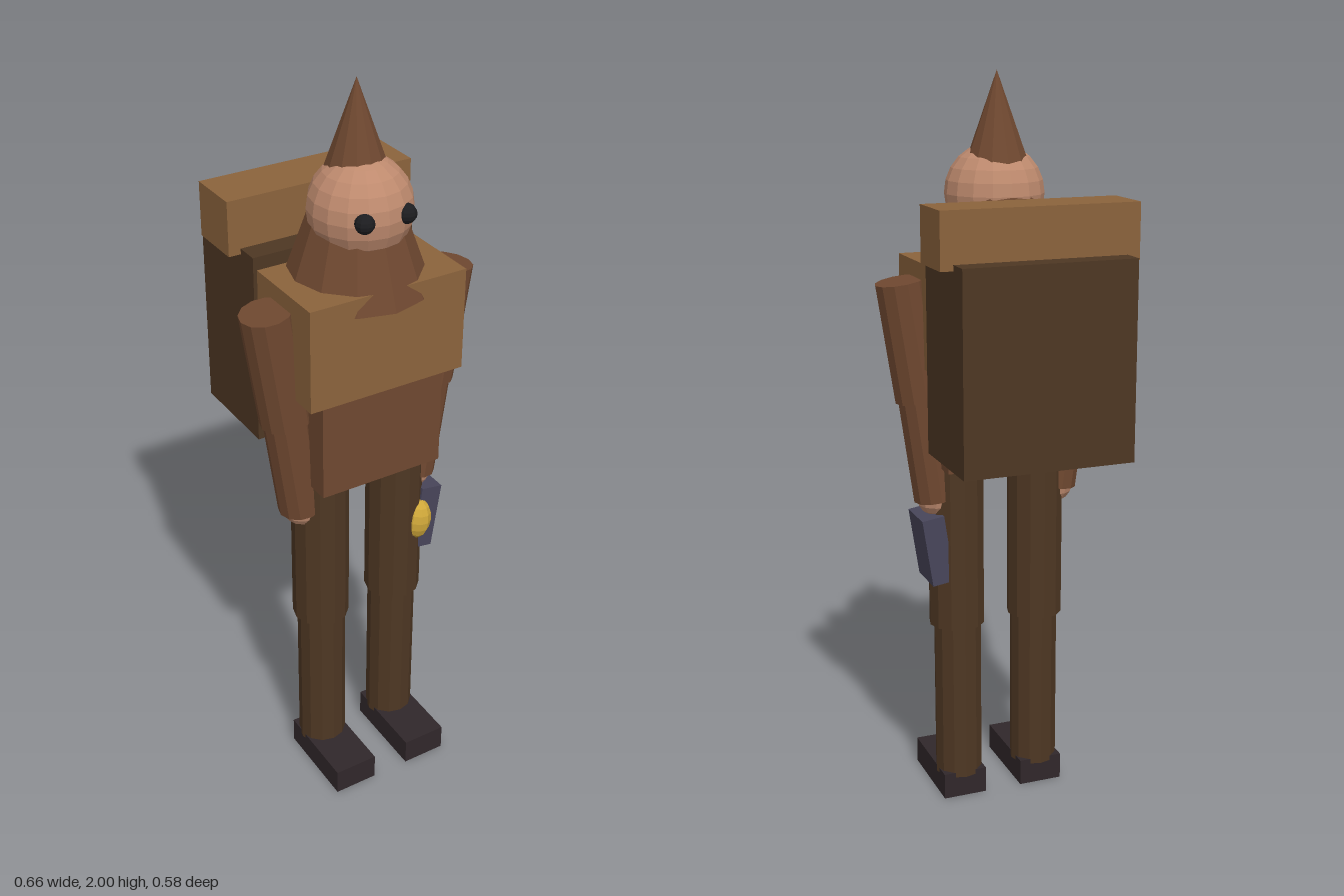
import * as THREE from 'three';

export function createModel() {
  const root = new THREE.Group();
  root.name = 'hoodedTraveller';

  const material = (name, color) => {
    const m = new THREE.MeshStandardMaterial({ color });
    m.name = name;
    return m;
  };
  const tan = material('tan leather', 0x8b633c);
  const brown = material('russet cloth', 0x6f4830);
  const dark = material('dark brown', 0x4e3723);
  const skin = material('skin', 0xbe8a6e);
  const black = material('eye black', 0x1d1d20);
  const boot = material('boot leather', 0x30272a);
  const slate = material('slate', 0x48455a);
  const gold = material('gold', 0xd0a83a);

  // Faceted mesh at a position
  function add(name, geometry, mat, x, y, z) {
    const flat = geometry.index ? geometry.toNonIndexed() : geometry;
    flat.computeVertexNormals();
    const mesh = new THREE.Mesh(flat, mat);
    mesh.name = name;
    mesh.position.set(x, y, z);
    root.add(mesh);
    return mesh;
  }
  // Box given by its lower and upper corners
  function box(name, mat, [x0, y0, z0], [x1, y1, z1]) {
    return add(name, new THREE.BoxGeometry(x1 - x0, y1 - y0, z1 - z0), mat,
      (x0 + x1) / 2, (y0 + y1) / 2, (z0 + z1) / 2);
  }
  // Round limb between two points
  function limb(name, mat, a, b, radius) {
    const from = new THREE.Vector3(...a), to = new THREE.Vector3(...b);
    const axis = from.clone().sub(to);
    const mid = from.clone().add(to).multiplyScalar(0.5);
    const mesh = add(name, new THREE.CylinderGeometry(radius, radius, axis.length(), 12), mat, mid.x, mid.y, mid.z);
    mesh.quaternion.setFromUnitVectors(new THREE.Vector3(0, 1, 0), axis.normalize());
    return mesh;
  }

  // Torso
  box('tunic', brown, [-0.175, 0.975, -0.016], [0.175, 1.25, 0.217]);
  box('chest', tan, [-0.22, 1.25, -0.035], [0.22, 1.525, 0.237]);

  // Backpack with bedroll
  box('backpack', dark, [-0.23, 1.04, -0.29], [0.23, 1.56, -0.018]);
  box('bedroll', tan, [-0.263, 1.545, -0.227], [0.263, 1.69, -0.08]);

  // Head inside a tall pointed hood
  add('head', new THREE.SphereGeometry(0.131, 16, 12), skin, 0, 1.69, 0.1);
  add('hood', new THREE.ConeGeometry(0.187, 0.524, 12), brown, 0, 1.738, 0.08);

  for (const s of [1, -1]) {
    const side = s > 0 ? 'left' : 'right';
    add(side + 'Eye', new THREE.SphereGeometry(0.025, 10, 8), black, s * 0.058, 1.7, 0.213);

    // Arm
    limb(side + 'UpperArm', brown, [s * 0.262, 1.475, 0.098], [s * 0.214, 1.16, 0.098], 0.067);
    limb(side + 'Forearm', brown, [s * 0.216, 1.18, 0.098], [s * 0.174, 0.88, 0.098], 0.06);
    add(side + 'Hand', new THREE.SphereGeometry(0.053, 10, 8), skin, s * 0.172, 0.882, 0.098);

    // Leg
    limb(side + 'Thigh', dark, [s * 0.116, 1.0, 0.098], [s * 0.116, 0.512, 0.098], 0.077);
    limb(side + 'Shin', dark, [s * 0.114, 0.53, 0.098], [s * 0.114, 0.06, 0.098], 0.066);
    box(side + 'Boot', boot, [s * 0.115 - 0.062, 0, 0.04], [s * 0.115 + 0.062, 0.074, 0.289]);
  }

  // Tilted lantern held in the left hand
  const lantern = add('lanternCase', new THREE.BoxGeometry(0.062, 0.19, 0.122), slate, 0.187, 0.745, 0.097);
  lantern.rotation.z = -0.15;
  const glow = add('lanternLight', new THREE.SphereGeometry(0.06, 10, 8).scale(0.62, 1, 0.62), gold, 0.159, 0.75, 0.154);
  glow.rotation.z = -0.1;

  return root;
}
